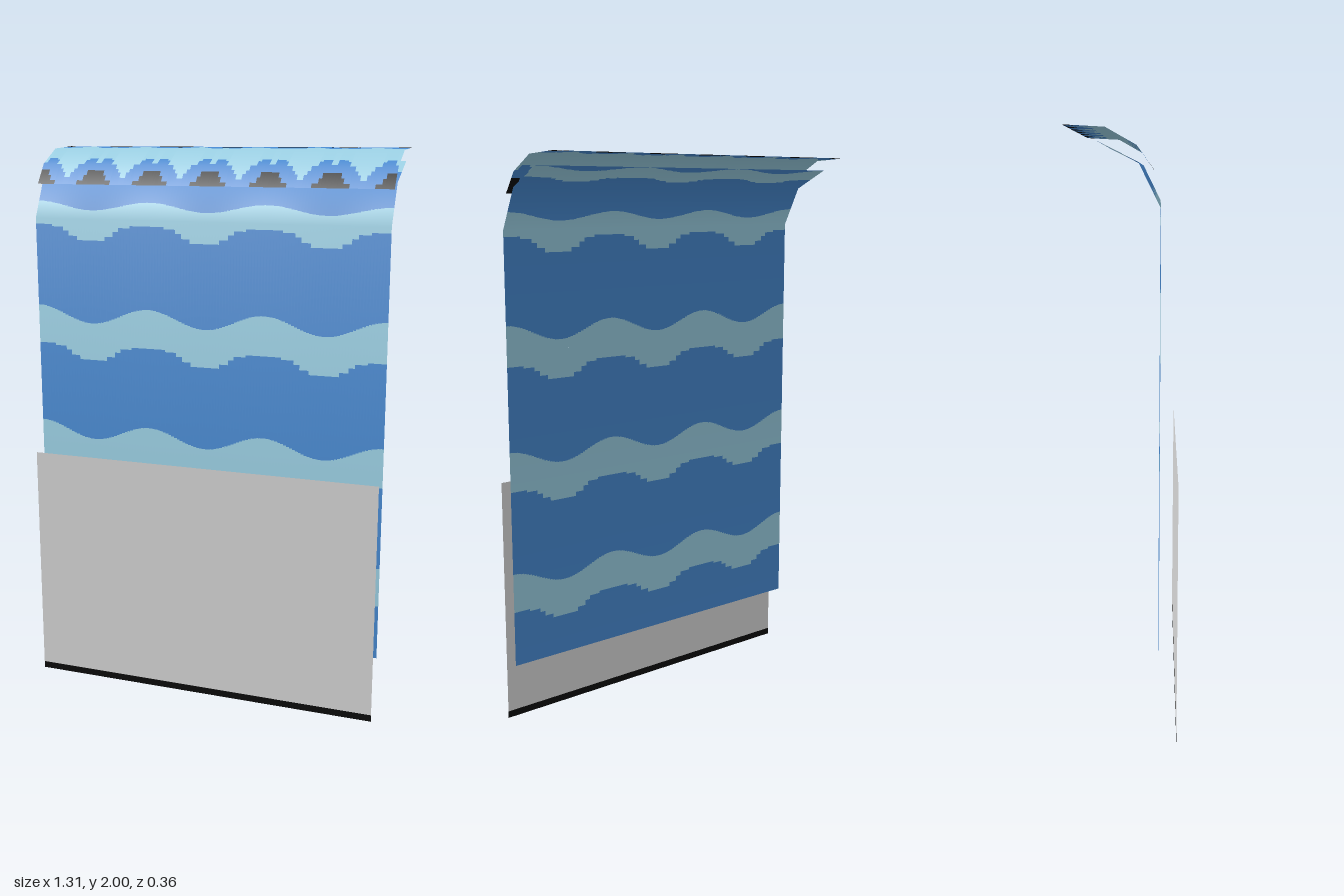
import * as THREE from 'three';

const WIDTH = 1.31, COLUMNS = 120, PERIOD = WIDTH / 3;

function material(name, color) {
  const m = new THREE.MeshStandardMaterial({ color, side: THREE.DoubleSide });
  m.name = name;
  return m;
}

// Profile: list of [key, z, y]; returns position and smooth normal at any key.
function profileSampler(points) {
  const slopes = points.slice(1).map(([, z, y], i) =>
    new THREE.Vector2(y - points[i][2], points[i][1] - z).normalize()); // (normal z, normal y)
  const normals = points.map((_, i) => {
    const a = slopes[Math.max(i - 1, 0)], b = slopes[Math.min(i, slopes.length - 1)];
    return a.clone().add(b).normalize();
  });
  return (key) => {
    let i = 0;
    while (i < points.length - 2 && key > points[i + 1][0]) i++;
    const [k0, z0, y0] = points[i], [k1, z1, y1] = points[i + 1];
    const t = (key - k0) / (k1 - k0);
    const n = normals[i].clone().lerp(normals[i + 1], t).normalize();
    return { z: z0 + (z1 - z0) * t, y: y0 + (y1 - y0) * t, n };
  };
}

// Sweeps a profile across x; bandsAt(x) gives [[endKey, colour], ...] for each narrow column.
function paintedSheet(name, points, bandsAt, materials) {
  const sample = profileSampler(points);
  const first = points[0][0], last = points[points.length - 1][0];
  const parts = {};
  for (const c in materials) parts[c] = { pos: [], nor: [] };

  for (let i = 0; i < COLUMNS; i++) {
    const x0 = -WIDTH / 2 + (WIDTH * i) / COLUMNS, x1 = x0 + WIDTH / COLUMNS;
    let from = first;
    for (const [end, colour] of bandsAt((x0 + x1) / 2)) {
      const to = Math.min(end, last);
      if (to <= from) continue;
      // cut each colour band where the profile bends
      const cuts = [from, ...points.map((p) => p[0]).filter((k) => k > from && k < to), to];
      for (let j = 0; j < cuts.length - 1; j++) {
        const a = sample(cuts[j]), b = sample(cuts[j + 1]);
        for (const [x, p] of [[x0, a], [x1, a], [x1, b], [x0, a], [x1, b], [x0, b]]) {
          parts[colour].pos.push(x, p.y, p.z);
          parts[colour].nor.push(0, p.n.y, p.n.x);
        }
      }
      from = to;
    }
  }

  const group = new THREE.Group();
  group.name = name;
  for (const c in parts) {
    if (!parts[c].pos.length) continue;
    const g = new THREE.BufferGeometry();
    g.setAttribute('position', new THREE.Float32BufferAttribute(parts[c].pos, 3));
    g.setAttribute('normal', new THREE.Float32BufferAttribute(parts[c].nor, 3));
    const mesh = new THREE.Mesh(g, materials[c]);
    mesh.name = `${name} ${c}`;
    group.add(mesh);
  }
  return group;
}

// Distance from x to the nearest multiple of the period
const offset = (x, period) => Math.abs(x - period * Math.round(x / period));
// Value of the first step whose limit is above d
const step = (d, steps) => steps.find(([limit]) => d < limit)[1];

// Wavy light stripes on the falling water
function fallBands(x) {
  const d = offset(x, PERIOD);
  const low = step(d, [[0.05, -0.055], [0.085, -0.04], [0.11, -0.022], [0.15, -0.008], [9, 0]]);
  const high = -0.03 * Math.cos((2 * Math.PI * x) / PERIOD);
  const bands = [];
  for (let k = -2; k <= 2; k++) {
    bands.push([1.292 + k * PERIOD + low, 'blue'], [1.403 + k * PERIOD + high, 'foam']);
  }
  bands.push([9, 'blue']);
  return bands;
}

// Scalloped edges with dark spots on both sides of the crest
function crestBands(x) {
  const d = offset(x, PERIOD / 2);
  const dark = step(d, [[0.03, 0.7], [0.045, 0.45], [0.062, 0.2], [9, 0]]);
  const blue = step(d, [[0.014, 1.08], [0.045, 1.37], [0.058, 1.27], [0.072, 1.0],
    [0.085, 0.78], [0.096, 0.6], [9, 0.35]]);
  return [[dark, 'black'], [blue, 'blue'], [3 - blue * 0.48, 'foam'],
    [3 - dark * 0.36, 'blue'], [3, 'black']];
}

export function createModel() {
  const blue = material('water blue', 0x478ad2);
  const foam = material('foam teal', 0x9bd0e4);
  const black = material('black', 0x0a0a0a);
  const grey = material('mist grey', 0xd8d8d8);

  const model = new THREE.Group();
  model.name = 'waterfall';

  // Falling water, bending back at the top
  model.add(paintedSheet('fallingWater',
    [[0.22, 0.12, 0.22], [1.75, 0.12, 1.75], [2.03, 0.05, 1.89], [2.31, -0.085, 1.957]],
    fallBands, { blue, foam }));

  // Crest sheet lying over the bend
  model.add(paintedSheet('crest',
    [[0, 0.095, 1.87], [1, 0.045, 1.94], [2, -0.05, 1.993], [3, -0.18, 2]],
    crestBands, { blue, foam, black }));

  // Flat mist panel in front with a dark lower edge
  const panel = (name, y0, y1, mat) => {
    const mesh = new THREE.Mesh(new THREE.PlaneGeometry(WIDTH, y1 - y0), mat);
    mesh.position.set(0, (y0 + y1) / 2, 0.18);
    mesh.name = name;
    model.add(mesh);
  };
  panel('mistPanel', 0.025, 0.88, grey);
  panel('mistPanelEdge', 0, 0.025, black);

  return model;
}
